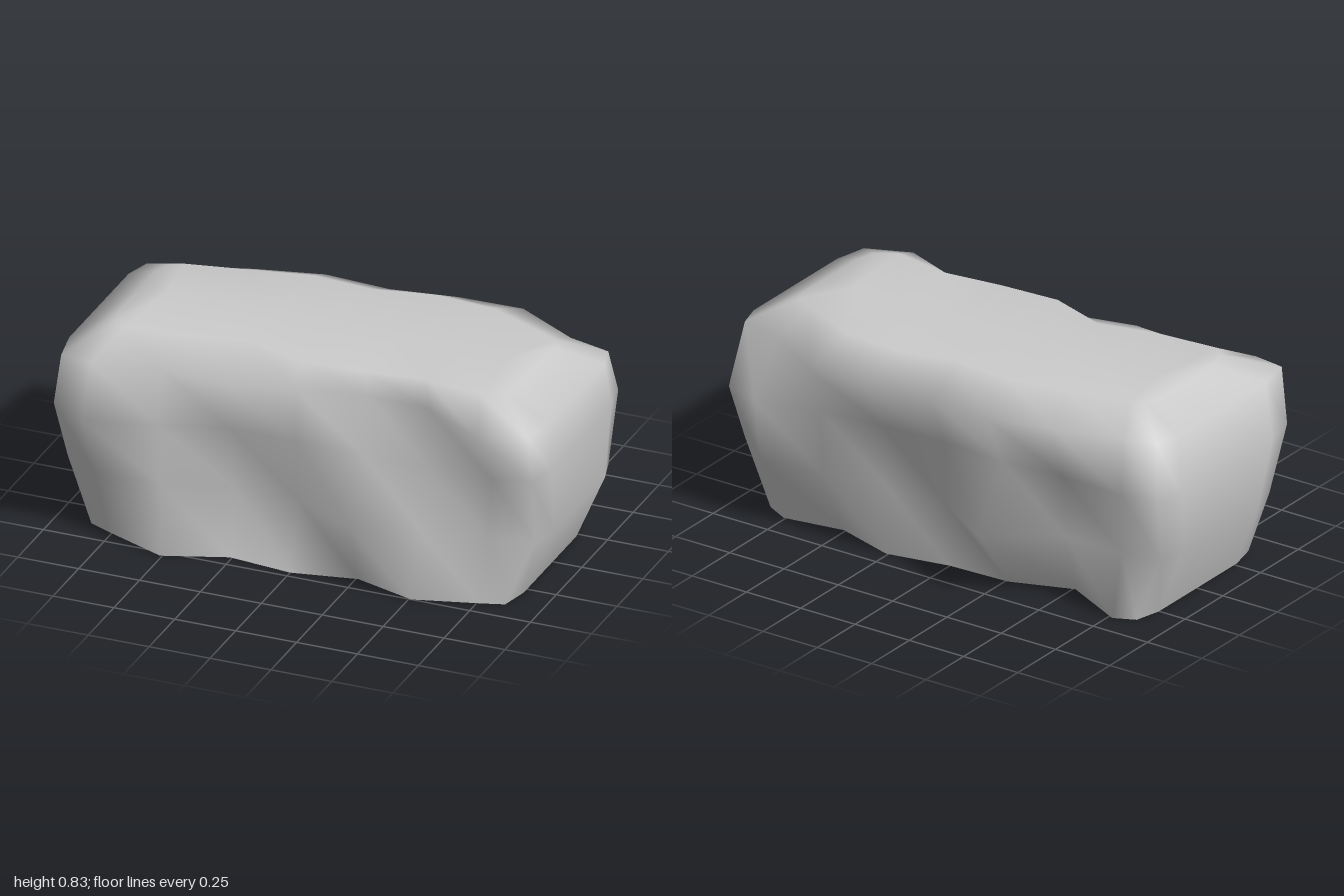
import * as THREE from 'three';

// One entry per height: end positions, column spread, depth of the front and back faces,
// and depth of the [front, back] corners at each end
const columns = [-0.8, -0.53, -0.27, 0, 0.27, 0.53, 0.79];
const rings = [
  { y: 0, left: 0.88, right: -0.88, spread: 0.96,
    front: [0.42, 0.53, 0.44, 0.47, 0.42, 0.50, 0.43],
    back: [0.40, 0.27, 0.36, 0.37, 0.42, 0.34, 0.38],
    leftCorner: [0.40, 0.33], rightCorner: [0.38, 0.36] },
  { y: 0.27, left: 0.995, right: -0.98, spread: 1,
    front: [0.47, 0.47, 0.38, 0.39, 0.53, 0.45, 0.41],
    back: [0.38, 0.37, 0.565, 0.40, 0.40, 0.45, 0.48],
    leftCorner: [0.37, 0.34], rightCorner: [0.38, 0.34] },
  { y: 0.53, left: 0.985, right: -1, spread: 1.02,
    front: [0.565, 0.49, 0.41, 0.41, 0.42, 0.42, 0.42],
    back: [0.41, 0.40, 0.42, 0.40, 0.42, 0.45, 0.51],
    leftCorner: [0.38, 0.46], rightCorner: [0.47, 0.39] },
  { y: 0.75, left: 0.995, right: -0.96, spread: 1,
    front: [0.51, 0.46, 0.475, 0.41, 0.355, 0.37, 0.525],
    back: [0.375, 0.46, 0.52, 0.50, 0.54, 0.545, 0.39],
    leftCorner: [0.45, 0.34], rightCorner: [0.49, 0.34] },
  { y: 0.835, left: 0.83, right: -0.81, spread: 0.92,
    front: [0.34, 0.32, 0.26, 0.345, 0.33, 0.30, 0.34],
    back: [0.24, 0.29, 0.34, 0.32, 0.37, 0.35, 0.24],
    leftCorner: [0.29, 0.20], rightCorner: [0.30, 0.21] },
];

// Rounded end of an outline, from its front corner to its back corner
function endPoints(x, y, [zFront, zBack]) {
  return [
    [x * 0.97, y, zFront], [x, y, zFront * 0.7], [x, y, 0],
    [x, y, -zBack * 0.7], [x * 0.97, y, -zBack],
  ];
}

// Closed outline at one height: front face, left end, back face, right end
function outline({ y, left, right, spread, front, back, leftCorner, rightCorner }) {
  return [
    ...columns.map((x, i) => [x * spread, y, front[i]]),
    ...endPoints(left, y, leftCorner),
    ...columns.map((x, i) => [x * spread, y, -back[i]]).reverse(),
    ...endPoints(right, y, rightCorner).reverse(),
  ];
}

function createBlockGeometry() {
  const loops = rings.map(outline);
  // The flat top closes onto a ridge line along the middle
  const top = loops[loops.length - 1];
  loops.push(top.map(([x, y]) => [THREE.MathUtils.clamp(x, -0.7, 0.7), y, 0]));

  const count = top.length;
  const indices = [];
  for (let r = 0; r < loops.length - 1; r++) {
    for (let i = 0; i < count; i++) {
      const a = r * count + i;
      const b = r * count + ((i + 1) % count);
      indices.push(a, b, a + count, b, b + count, a + count);
    }
  }
  const geometry = new THREE.BufferGeometry();
  geometry.setAttribute('position', new THREE.Float32BufferAttribute(loops.flat(2), 3));
  geometry.setIndex(indices);
  geometry.computeVertexNormals();

  // The ridge lies in the flat top, so its normals point straight up
  const normal = geometry.attributes.normal;
  for (let i = count * rings.length; i < normal.count; i++) normal.setXYZ(i, 0, 1, 0);
  return geometry;
}

export function createModel() {
  const group = new THREE.Group();
  group.name = 'stoneBlock';
  // Weathered shell, open underneath
  const material = new THREE.MeshStandardMaterial({ color: 0xcccccc, side: THREE.DoubleSide });
  const shell = new THREE.Mesh(createBlockGeometry(), material);
  shell.name = 'stoneShell';
  group.add(shell);
  return group;
}
